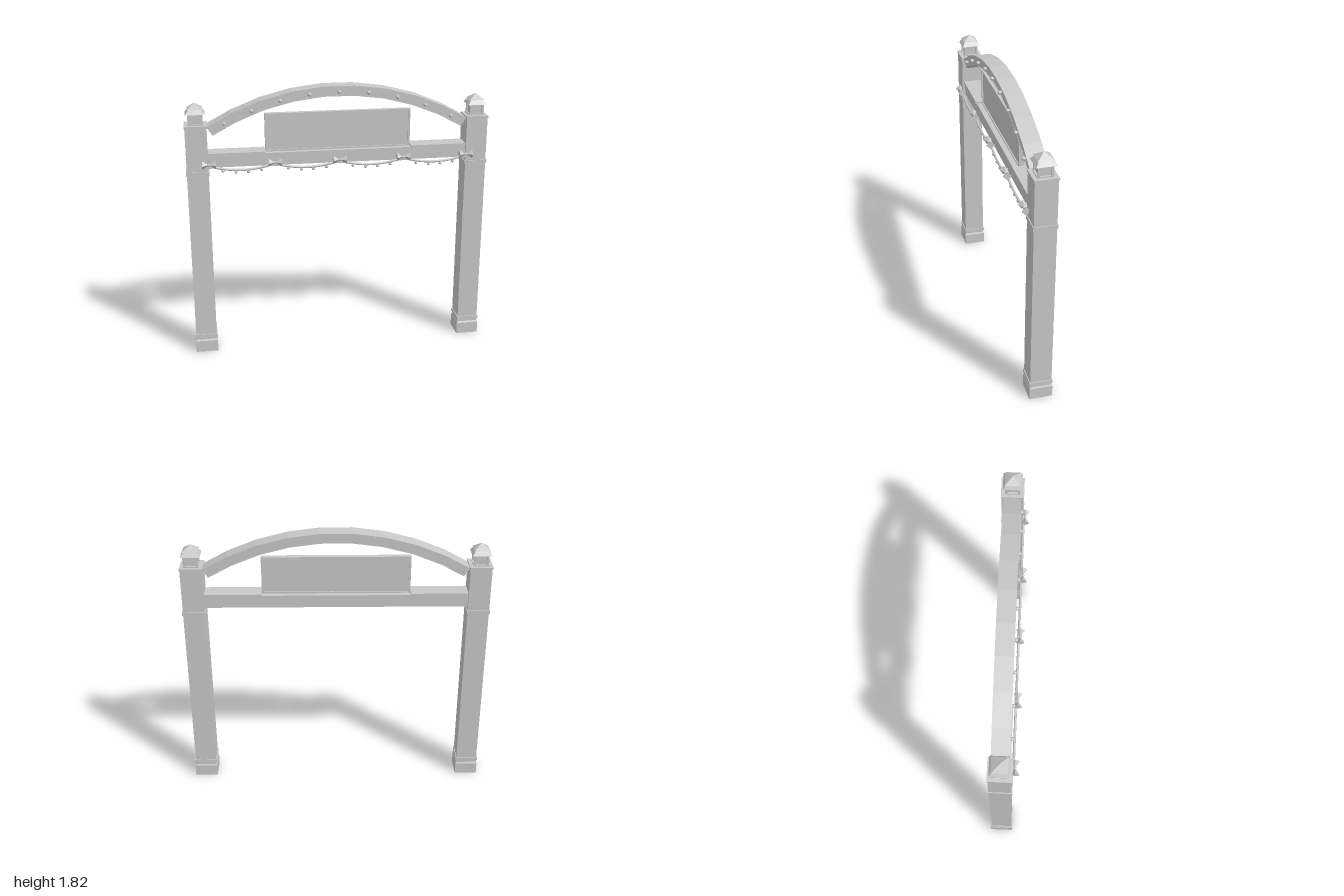
import * as THREE from 'three';

const Z = -0.0175; // depth centre of posts, beam and arch

export function createModel() {
  const model = new THREE.Group();
  model.name = 'entranceArch';
  const stone = new THREE.MeshStandardMaterial({ color: 0xc8c8c8 });
  stone.name = 'light grey';

  const add = (parent, name, geo, x = 0, y = 0, z = 0) => {
    const m = new THREE.Mesh(geo, stone);
    m.name = name;
    m.position.set(x, y, z);
    parent.add(m);
    return m;
  };
  const group = (name, x = 0, y = 0, z = 0) => {
    const g = new THREE.Group();
    g.name = name;
    g.position.set(x, y, z);
    model.add(g);
    return g;
  };
  // box given by its bottom and top heights
  const block = (parent, name, w, d, y0, y1, x = 0, z = 0) =>
    add(parent, name, new THREE.BoxGeometry(w, y1 - y0, d), x, (y0 + y1) / 2, z);
  const faceted = (geo) => {
    const g = geo.toNonIndexed();
    g.computeVertexNormals();
    return g;
  };
  // square frustum or pyramid given by its half widths
  const frustum = (parent, name, top, bottom, y0, y1) => {
    const g = new THREE.CylinderGeometry(top * Math.SQRT2, bottom * Math.SQRT2, y1 - y0, 4);
    g.rotateY(Math.PI / 4);
    return add(parent, name, faceted(g), 0, (y0 + y1) / 2, 0);
  };

  // Posts with base, bands, cap and lantern
  for (const side of [-1, 1]) {
    const post = group(side > 0 ? 'leftPost' : 'rightPost', side * 0.923, 0, Z);
    block(post, 'base', 0.151, 0.151, 0, 0.08);
    block(post, 'shaft', 0.14, 0.14, 0.08, 1.58);
    frustum(post, 'baseSlope', 0.07, 0.0755, 0.08, 0.09);
    block(post, 'lowerBand', 0.151, 0.151, 0.108, 0.13);
    block(post, 'upperBand', 0.151, 0.151, 1.264, 1.288);
    block(post, 'cap', 0.149, 0.149, 1.575, 1.59);
    block(post, 'lanternCore', 0.074, 0.074, 1.59, 1.665);
    block(post, 'lanternFoot', 0.1, 0.1, 1.59, 1.597);
    for (const x of [-1, 1]) for (const z of [-1, 1])
      block(post, 'lanternCorner', 0.014, 0.014, 1.59, 1.665, x * 0.041, z * 0.041);
    frustum(post, 'lowerRoof', 0.036, 0.062, 1.662, 1.697);
    frustum(post, 'upperRoof', 0, 0.05, 1.692, 1.73);
  }

  // Segmented arch: body with thin rims along its top and bottom edges
  const R = 1.625, cy = 1.82 - R;
  const xs = [-0.853, -0.695, -0.505, -0.305, -0.103, 0.103, 0.305, 0.505, 0.695, 0.853];
  const archBand = (outer, inner, depth) => {
    const at = (x, r) => {
      const a = Math.asin(x / R);
      return new THREE.Vector2(Math.sin(a) * r, cy + Math.cos(a) * r);
    };
    const pts = [...xs.map((x) => at(x, R - inner)), ...xs.map((x) => at(x, R - outer)).reverse()];
    const g = new THREE.ExtrudeGeometry(new THREE.Shape(pts), { depth, bevelEnabled: false });
    g.translate(0, 0, Z - depth / 2);
    return g;
  };
  const arch = group('arch');
  add(arch, 'archBody', archBand(0.004, 0.065, 0.1));
  add(arch, 'archTopRim', archBand(0, 0.01, 0.114));
  add(arch, 'archBottomRim', archBand(0.063, 0.067, 0.104));
  const bulb = new THREE.SphereGeometry(0.0125, 12, 8);
  for (let i = -4; i <= 4; i++) {
    const a = i * 0.1215;
    const x = Math.sin(a) * (R - 0.038), y = cy + Math.cos(a) * (R - 0.038);
    const socket = new THREE.CylinderGeometry(0.008, 0.008, 0.014, 10);
    socket.rotateX(Math.PI / 2);
    add(arch, 'bulbSocket', socket, x, y, 0.037);
    add(arch, 'archBulb', bulb, x, y, 0.046);
  }

  // Crossbeam with top ledges beside the sign
  const beam = group('crossbeam', 0, 0, Z);
  block(beam, 'beamBody', 1.71, 0.104, 1.31, 1.393);
  for (const side of [-1, 1]) block(beam, 'beamLedge', 0.37, 0.12, 1.39, 1.405, side * 0.667);

  // Framed sign board
  const sign = group('sign', 0, 0, Z);
  block(sign, 'signPanel', 0.94, 0.018, 1.395, 1.64);
  block(sign, 'frameTop', 0.96, 0.034, 1.632, 1.645);
  block(sign, 'frameBottom', 0.96, 0.034, 1.39, 1.403);
  for (const side of [-1, 1]) block(sign, 'frameSide', 0.013, 0.034, 1.39, 1.645, side * 0.4735);

  // Swags of garland with hanging bulbs
  const garland = group('garland');
  const span = 0.425, gz = 0.058;
  const sag = (t) => 1.328 - 0.034 * (1 - t * t); // t from -1 to 1 across a swag
  for (let i = 0; i < 4; i++) {
    const mid = (i - 1.5) * span;
    const pts = [];
    for (let k = -4; k <= 4; k++)
      pts.push(new THREE.Vector3(mid + (k / 4) * span / 2, sag(k / 4), gz));
    add(garland, 'swag', new THREE.TubeGeometry(new THREE.CatmullRomCurve3(pts), 16, 0.008, 8));
    for (const dx of [-0.125, -0.04, 0.04, 0.125]) {
      const y = sag(dx / (span / 2)) - 0.015;
      add(garland, 'bulbStem', new THREE.CylinderGeometry(0.006, 0.006, 0.012, 8), mid + dx, y + 0.005, gz);
      add(garland, 'hangingBulb', new THREE.SphereGeometry(0.01, 10, 8), mid + dx, y, gz);
    }
  }

  // Bows at the swag joints: two pyramid loops, a knot and a tail block
  for (let i = -2; i <= 2; i++) {
    const bow = group('bow', i * span, 1.337, 0.068);
    for (const side of [-1, 1]) {
      const g = new THREE.ConeGeometry(0.029, 0.044, 4);
      g.rotateZ(side * Math.PI / 2); // apex towards the knot
      add(bow, 'bowLoop', faceted(g), side * 0.022, 0, 0);
    }
    add(bow, 'knot', new THREE.SphereGeometry(0.01, 10, 8));
    block(bow, 'bowTail', 0.07, 0.02, -0.024, -0.01, 0, -0.012);
  }
  return model;
}
